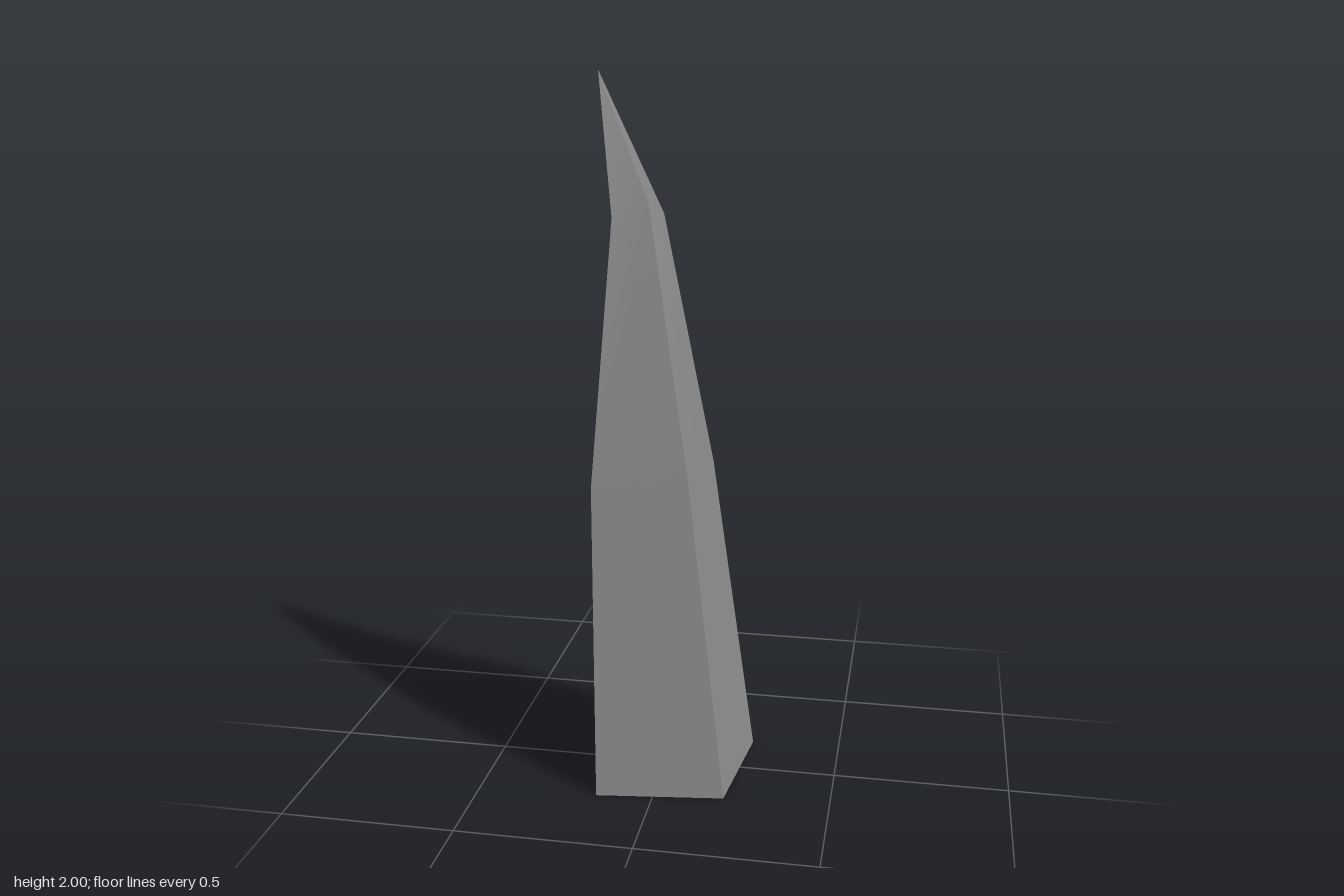
import * as THREE from 'three';

export function createModel() {
  const group = new THREE.Group();
  group.name = 'curvedSpike';

  const material = new THREE.MeshStandardMaterial({ color: 0x888888, side: THREE.DoubleSide });

  // Four-sided cross-sections, bottom to top: outer, right, inner and left corner
  const rings = [
    [[0.2, 0, 0.193], [0.24, 0, -0.167], [-0.12, 0, -0.12], [-0.16, 0, 0.24]],
    [[0.075, 0.89, 0.071], [0.105, 0.88, -0.2], [-0.165, 0.875, -0.165], [-0.195, 0.875, 0.105]],
    [[-0.06, 1.645, -0.06], [-0.036, 1.61, -0.162], [-0.13, 1.565, -0.13], [-0.16, 1.61, -0.037]],
  ];
  const tip = [-0.24, 2, -0.24];

  // Each wall is one strip, smooth along its height and sharp at the corners;
  // the base stays open
  ['rightWall', 'backWall', 'leftWall', 'frontWall'].forEach((name, i) => {
    const positions = rings.flatMap((ring) => [...ring[i], ...ring[(i + 1) % 4]]);
    positions.push(...tip);
    const index = [];
    for (let k = 0; k < 4; k += 2) index.push(k, k + 1, k + 3, k, k + 3, k + 2);
    index.push(4, 5, 6);

    const geometry = new THREE.BufferGeometry();
    geometry.setAttribute('position', new THREE.Float32BufferAttribute(positions, 3));
    geometry.setIndex(index);
    geometry.computeVertexNormals();

    const wall = new THREE.Mesh(geometry, material);
    wall.name = name;
    group.add(wall);
  });

  return group;
}
